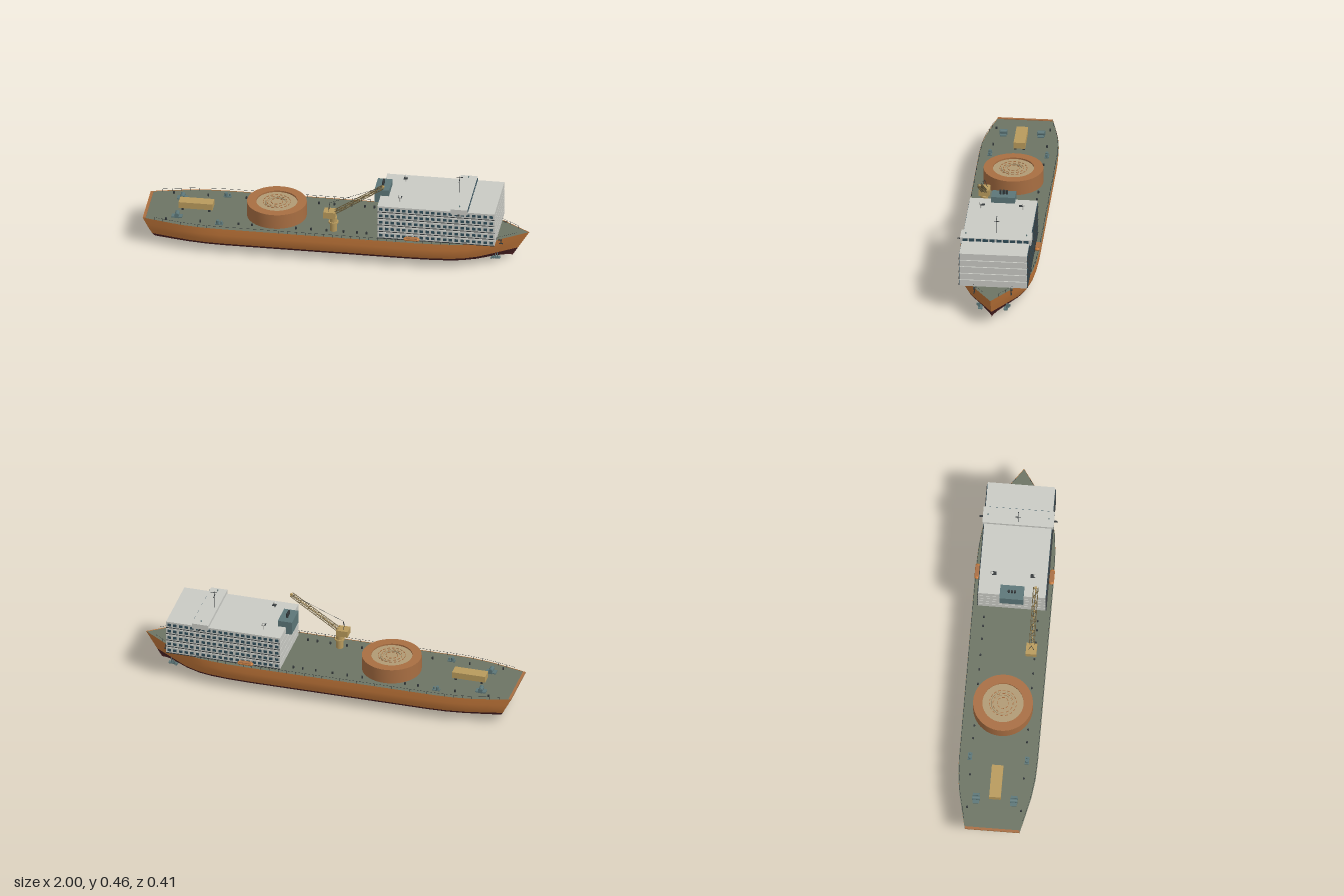
import * as THREE from 'three';
import { mergeGeometries, toCreasedNormals } from 'three/addons/utils/BufferGeometryUtils.js';

const C = { orange: 0xc4783a, boot: 0x4e2224, deck: 0x6c7464, white: 0xc9cac4, glass: 0x2f4c58,
  tan: 0xb89a5c, brown: 0xa86e42, steel: 0x5c7678, dark: 0x33383a, pale: 0xb09a74, boom: 0x6e5f3c };
const DECK = 0.155;
// deck half width along the length
const PLAN = [[-1, .142], [-.9, .166], [-.8, .188], [-.7, .201], [-.6, .205], [-.2, .205], [.2, .205], [.42, .205],
  [.55, .2], [.65, .19], [.72, .174], [.8, .139], [.85, .105], [.92, .056], [1, 0]];
// half-section: [y, share of deck half width]
const UPPER = [[.158, 1], [.12, .995], [.09, .975], [.063, .915]];
const LOWER = [[.063, .915], [.05, .87], [.038, .77], [.029, .6], [.022, .32], [.019, 0]];

function halfWidth(x) {
  for (let i = 1; i < PLAN.length; i++) {
    const [x0, w0] = PLAN[i - 1], [x1, w1] = PLAN[i];
    if (x <= x1) return w0 + (w1 - w0) * (x - x0) / (x1 - x0);
  }
  return 0;
}

// one side of the hull between two levels, with raked ends and a flat transom
function hullSide(levels, s) {
  const stations = [[-1, 0], ...PLAN], n = levels.length, pos = [], idx = [];
  for (const [x, w] of stations) for (const [y, k] of levels) {
    const t = (DECK - y) / .136;
    pos.push(x * (1 - (x > 0 ? .085 : .07) * t), y, s * w * k);
  }
  for (let i = 0; i < stations.length - 1; i++) for (let j = 0; j < n - 1; j++) {
    const a = i * n + j, b = a + 1, c = a + n, d = c + 1;
    idx.push(...(s > 0 ? [a, b, c, b, d, c] : [a, c, b, b, c, d]));
  }
  const g = new THREE.BufferGeometry();
  g.setAttribute('position', new THREE.Float32BufferAttribute(pos, 3));
  g.setIndex(idx);
  return toCreasedNormals(g, .6);
}

export function createModel() {
  const root = new THREE.Group();
  const add = (name, geo, color, x = 0, y = 0, z = 0, parent = root) => {
    const m = new THREE.Mesh(geo, new THREE.MeshStandardMaterial({ color }));
    m.name = name;
    m.position.set(x, y, z);
    parent.add(m);
    return m;
  };
  const box = (w, h, d, x, y, z) => new THREE.BoxGeometry(w, h, d).translate(x, y, z);
  const cyl = (r, h, x, y, z, seg = 12) => new THREE.CylinderGeometry(r, r, h, seg).translate(x, y, z);
  const merged = (name, list, color) => add(name, mergeGeometries(list), color);
  const rod = (a, b, r) => new THREE.TubeGeometry(new THREE.LineCurve3(a, b), 1, r, 6);
  const V = (x, y, z) => new THREE.Vector3(x, y, z);
  const sides = [1, -1];

  // hull and deck
  for (const s of sides) {
    add('hullTopside', hullSide(UPPER, s), C.orange).material.side = THREE.DoubleSide;
    add('hullBottom', hullSide(LOWER, s), C.boot).material.side = THREE.DoubleSide;
  }
  const outline = [...PLAN.map(([x, w]) => new THREE.Vector2(x, w)),
    ...PLAN.slice(0, -1).reverse().map(([x, w]) => new THREE.Vector2(x, -w))];
  add('deck', new THREE.ShapeGeometry(new THREE.Shape(outline)).rotateX(-Math.PI / 2), C.deck, 0, DECK, 0);
  add('sternBulwark', box(.013, .008, .284, -.993, .155, 0), C.brown);

  // deck rails
  const rails = [];
  for (const s of sides) {
    const edge = [];
    for (let x = -.94; x <= .945; x += .047) {
      const p = V(x, .17, s * (halfWidth(x) - .004));
      edge.push(p);
      rails.push(box(.0015, .016, .0015, p.x, .162, p.z));
    }
    rails.push(new THREE.TubeGeometry(new THREE.CatmullRomCurve3(edge), 80, .0007, 4));
  }
  merged('deckRails', rails, C.dark);

  // cable carousel
  const ring = (pts) => toCreasedNormals(new THREE.LatheGeometry(pts.map(p => new THREE.Vector2(...p)), 48), .5);
  add('carouselWall', ring([[.155, 0], [.155, .08], [.107, .08], [.107, .068]]), C.brown, -.32, DECK, 0);
  add('carouselCoil', ring([[.108, .072], [.062, .072], [.06, .076], [.045, .076], [.045, .07], [0, .07]]), C.pale, -.32, DECK, 0);
  const marks = [];
  for (const [r, n] of [[.07, 18], [.052, 12], [.03, 8]]) for (let i = 0; i < n; i++)
    marks.push(box(.003, .003, r * 3.6 / n, r, 0, 0).rotateY(i / n * Math.PI * 2));
  add('carouselSpacers', mergeGeometries(marks), C.brown, -.32, DECK + .077, 0);

  // stern deck house and winches
  add('sternHouse', box(.178, .034, .06, -.741, .184, 0), C.tan);
  merged('sternHouseFeet', [-.81, -.67].flatMap(x => sides.map(s => box(.012, .014, .012, x, .161, s * .022))), C.dark);
  const winches = [], small = [];
  for (const s of sides) {
    winches.push(box(.056, .006, .034, -.828, .158, s * .098),
      new THREE.CylinderGeometry(.012, .012, .036, 16).rotateX(Math.PI / 2).translate(-.828, .17, s * .098));
    for (const e of sides) winches.push(box(.02, .024, .004, -.828, .167, s * .098 + e * .018));
    winches.push(box(.04, .005, .022, -.6, .158, s * .148), cyl(.009, .018, -.607, .168, s * .148),
      cyl(.006, .014, -.588, .166, s * .148));
    for (const x of [-.88, -.7, -.5, -.43, -.2, -.12, -.04, .05, .12, .17])
      small.push(cyl(.005, .012, x, .161, s * .14, 8));
  }
  merged('winches', winches, C.steel);
  merged('bollards', small, C.dark);

  // lattice crane
  const cz = .123;
  add('cranePedestal', cyl(.019, .08, -.005, .195, cz, 20), C.tan);
  add('craneCollar', cyl(.026, .008, -.005, .205, cz, 20), C.tan);
  add('craneCab', box(.062, .035, .056, -.024, .253, cz), C.tan);
  const foot = V(0, .262, cz), tip = V(.255, .432, cz);
  const chord = (t, up, side) => {
    const w = .013 - .001 * t;
    return foot.clone().lerp(tip, t).add(V(-.55 * up * w * .5, .83 * up * w * .5, side * w));
  };
  const lattice = [];
  for (const u of sides) for (const s of sides) lattice.push(rod(chord(0, u, s), chord(1, u, s), .0019));
  const bays = 12;
  for (let i = 0; i < bays; i++) {
    const a = i / bays, b = (i + 1) / bays, f = i % 2 ? 1 : -1;
    for (const u of sides) lattice.push(rod(chord(a, u, f), chord(b, u, -f), .001), rod(chord(a, u, 1), chord(a, u, -1), .001));
    for (const s of sides) lattice.push(rod(chord(a, f, s), chord(b, -f, s), .001));
  }
  merged('craneBoom', lattice, C.boom);
  add('craneSpine', rod(foot, tip, .003), C.tan);
  add('craneSheave', new THREE.CylinderGeometry(.006, .006, .012, 14).rotateX(Math.PI / 2), C.tan, .255, .432, cz);
  merged('craneRigging', [rod(V(-.025, .315, cz), tip, .0008),
    ...sides.map(s => rod(V(-.03, .27, cz + s * .014), V(-.025, .315, cz), .0012))], C.dark);

  // accommodation block: stacked tiers with window rows on both sides
  const tiers = [[.157, .191], [.195, .229], [.233, .268], [.272, .305], [.309, .345]];
  const windows = [], frames = [], pillars = [];
  const x0 = .232, x1 = .845, cx = (x0 + x1) / 2;
  tiers.forEach(([a, b], i) => {
    add('accommodationTier', box(x1 - x0, b - a, .35, cx, (a + b) / 2, 0), C.white);
    for (const s of sides) {
      for (let k = 0; k < 20; k++) windows.push(box(.018, .014, .004, .25 + k * .0304, a + .019, s * .1755));
      frames.push(box(x1 - x0, .002, .006, cx, a + .003, s * .177));
      if (i) for (const x of [x0 + .01, x1 - .01]) pillars.push(box(.01, .006, .01, x, a - .002, s * .165));
    }
  });
  merged('sideWindows', windows, C.glass);
  merged('tierLedges', frames, C.dark);
  merged('tierPillars', pillars, C.white);

  // bridge with forward windows and wings
  add('bridge', box(.088, .03, .37, .66, .348, 0), C.white);
  const panes = [];
  for (let k = 0; k < 10; k++) panes.push(box(.003, .015, .026, .7045, .3525, (k - 4.5) * .0355));
  merged('bridgeWindows', panes, C.glass);
  merged('bridgeWingBars', sides.map(s => box(.01, .002, .03, .66, .336, s * .188)), C.dark);
  merged('bridgeLamps', sides.flatMap(s => [cyl(.0015, .008, .66, .365, s * .158, 6),
    new THREE.SphereGeometry(.004, 12, 8).translate(.66, .37, s * .158)]), C.steel);

  // mast, domes and funnel
  merged('mast', [cyl(.0018, .112, .635, .402, 0, 8), box(.034, .002, .003, .637, .453, 0),
    box(.003, .002, .03, .635, .43, 0)], C.dark);
  merged('radarDomes', sides.flatMap(s => [cyl(.003, .022, .34, .356, s * .11, 8),
    new THREE.SphereGeometry(.008, 16, 12).translate(.34, .373, s * .112)]), C.white);
  merged('domePlatforms', sides.map(s => box(.02, .002, .022, .34, .367, s * .1)), C.dark);
  add('funnelCasing', box(.076, .072, .124, .238, .342, 0), C.steel);
  merged('exhaustPipes', [-1, 0, 1].map(k => cyl(.0055, .026, .238, .388, k * .016)), C.dark);

  // lifeboats on davits
  for (const s of sides) {
    const boat = new THREE.CapsuleGeometry(.011, .062, 6, 16).rotateZ(Math.PI / 2).scale(1, .75, 1.15);
    add('lifeboat', boat, C.orange, .413, .174, s * .194);
    add('lifeboatCanopy', box(.06, .004, .022, .413, .181, s * .194), C.brown);
    merged('davits', [.385, .441].flatMap(x => [box(.003, .03, .003, x, .168, s * .18),
      box(.003, .003, .024, x, .166, s * .192)]), C.dark);
  }

  // anchors and bow thruster grilles
  const anchors = [], grilles = [];
  for (const s of sides) {
    anchors.push(box(.004, .022, .004, .868, .143, s * .095), box(.02, .004, .006, .868, .133, s * .097),
      box(.02, .003, .012, .862, .154, s * .096));
    for (let k = 0; k < 4; k++)
      grilles.push(box(.005, .03 - k * .006, .006, .845 - k * .01, .047 - k * .003, s * (.07 + k * .005)));
    grilles.push(box(.05, .005, .022, .835, .034, s * .066));
  }
  merged('anchors', anchors, C.dark);
  merged('thrusterGrilles', grilles, C.steel);

  // propeller and rudder under the stern
  const screw = [new THREE.CylinderGeometry(.004, .004, .03, 12).rotateZ(Math.PI / 2)];
  for (let k = 0; k < 4; k++)
    screw.push(new THREE.SphereGeometry(1, 10, 8).scale(.003, .011, .005).rotateY(.5).translate(0, .011, 0)
      .rotateX((k + .5) * Math.PI / 2));
  add('propeller', mergeGeometries(screw), C.tan, -.9, .018, 0);
  add('skeg', box(.08, .012, .006, -.85, .019, 0), C.boot);

  return root;
}
